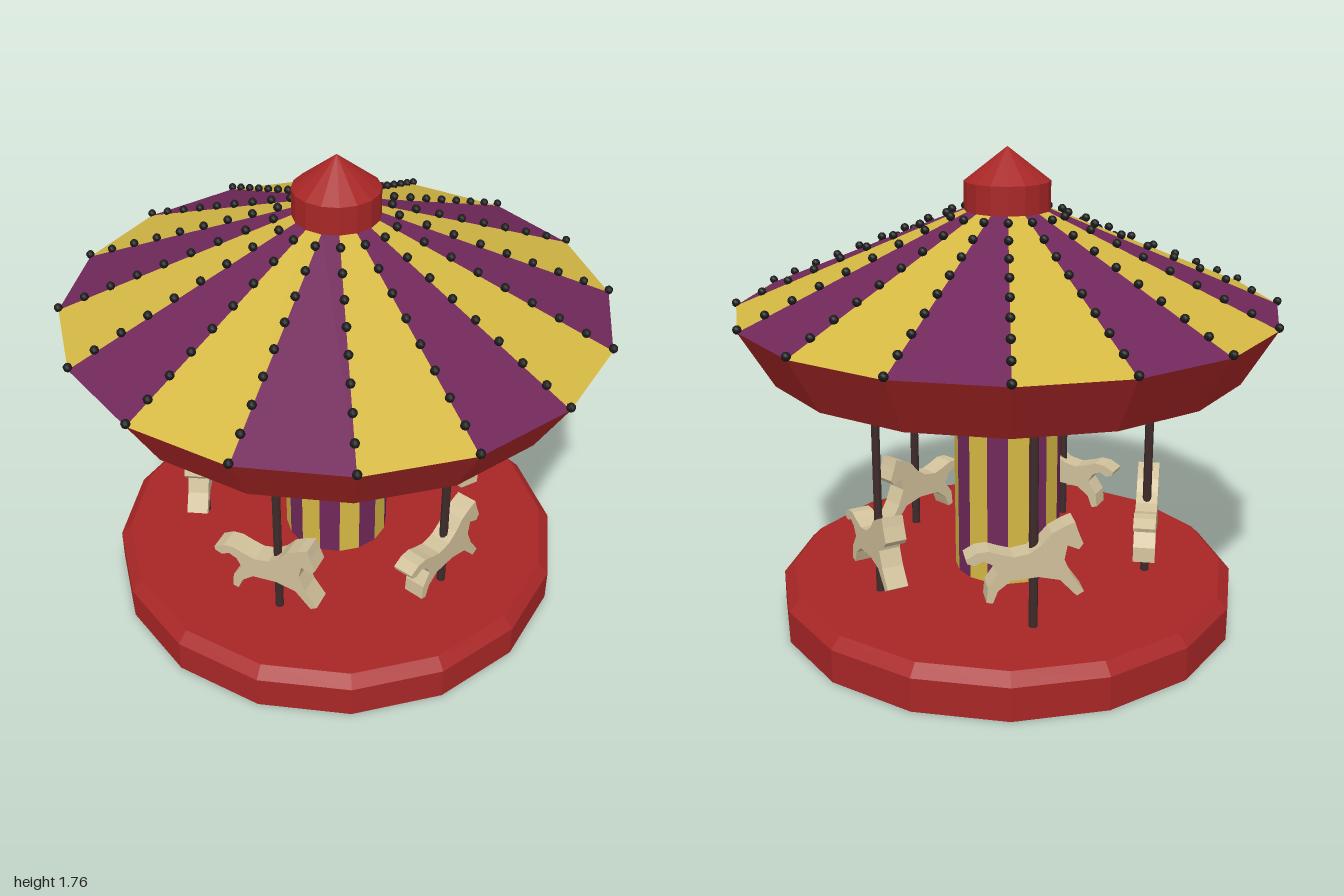
import * as THREE from 'three';
import { mergeGeometries } from 'three/addons/utils/BufferGeometryUtils.js';

const SIDES = 16;
const STEP = (Math.PI * 2) / SIDES;

const material = (color, flatShading = true) =>
  new THREE.MeshStandardMaterial({ color, flatShading, side: THREE.DoubleSide });

const red = material(0xa82626);
const yellow = material(0xd4b843);
const purple = material(0x70285a);
const brown = material(0x3e2a2a);
const black = material(0x1a1a1a, false);
const cream = material(0xd0c09a);

const toPoints = (list) => list.map(([x, y]) => new THREE.Vector2(x, y));

function addMesh(parent, name, geometry, mat) {
  const mesh = new THREE.Mesh(geometry, mat);
  mesh.name = name;
  parent.add(mesh);
  return mesh;
}

// Sixteen-sided turned shape
const turned = (profile) => new THREE.LatheGeometry(toPoints(profile), SIDES);

// Turned shape whose sectors alternate between yellow and purple
function striped(name, profile) {
  const group = new THREE.Group();
  group.name = name;
  [yellow, purple].forEach((mat, parity) => {
    const sectors = [];
    for (let i = parity; i < SIDES; i += 2) {
      sectors.push(new THREE.LatheGeometry(toPoints(profile), 1, i * STEP, STEP));
    }
    addMesh(group, name + (parity ? 'PurpleStripes' : 'YellowStripes'), mergeGeometries(sectors), mat);
  });
  return group;
}

// Galloping horse silhouette facing +x
function horseGeometry() {
  const outline = [
    [-0.24, 0.375], [-0.2, 0.397], [-0.16, 0.4], [-0.12, 0.385], [-0.075, 0.372], [-0.02, 0.382],
    [0.02, 0.41], [0.055, 0.45], [0.1, 0.474], [0.135, 0.487], [0.145, 0.455], [0.165, 0.405],
    [0.15, 0.385], [0.11, 0.402], [0.1, 0.35], [0.125, 0.29], [0.17, 0.225], [0.145, 0.21],
    [0.085, 0.275], [0.01, 0.292], [-0.085, 0.285], [-0.13, 0.25], [-0.148, 0.205],
    [-0.17, 0.21], [-0.165, 0.265], [-0.13, 0.315], [-0.15, 0.35], [-0.18, 0.365],
    [-0.21, 0.35], [-0.235, 0.36],
  ];
  const depth = 0.08;
  const geometry = new THREE.ExtrudeGeometry(new THREE.Shape(toPoints(outline)), { depth, bevelEnabled: false });
  return geometry.translate(0, 0, -depth / 2);
}

export function createModel() {
  const model = new THREE.Group();
  model.name = 'carousel';

  // Hollow platform with a chamfered edge
  addMesh(model, 'platform', turned([[0.865, 0], [0.865, 0.125], [0.825, 0.165], [0.2, 0.165]]), red);

  // Striped column, flat ceiling and sloping roof
  model.add(striped('column', [[0.2, 0.165], [0.2, 0.985]]));
  model.add(striped('ceiling', [[0, 0.985], [0.865, 0.985]]));
  model.add(striped('roof', [[0.985, 1.188], [0.15, 1.54]]));

  // Flared band under the roof edge
  addMesh(model, 'valance', turned([[0.865, 0.985], [0.985, 1.188]]), red);

  // Drum and pointed cap
  addMesh(model, 'cap', turned([[0.155, 1.535], [0.155, 1.64], [0, 1.76]]), red);

  // Bulbs along every roof ridge
  const bulbs = new THREE.Group();
  bulbs.name = 'bulbs';
  const bulb = new THREE.SphereGeometry(0.016, 8, 6);
  for (let i = 0; i < SIDES; i++) {
    for (let k = 0; k < 9; k++) {
      const r = 0.984 - k * 0.096;
      const y = 1.198 + k * 0.041;
      addMesh(bulbs, 'bulb', bulb, black).position.set(r * Math.sin(i * STEP), y, r * Math.cos(i * STEP));
    }
  }
  model.add(bulbs);

  // Five poles, each with a horse at its own height
  const horse = horseGeometry();
  const pole = new THREE.CylinderGeometry(0.016, 0.016, 0.92, 8);
  [0, 0.022, 0.08, 0.065, 0.025].forEach((lift, i) => {
    const ride = new THREE.Group();
    ride.name = 'ride';
    addMesh(ride, 'pole', pole, brown).position.set(0, 0.525, 0.53);
    addMesh(ride, 'horse', horse, cream).position.set(0, lift, 0.53);
    ride.rotation.y = (i * Math.PI * 2) / 5;
    model.add(ride);
  });

  return model;
}
